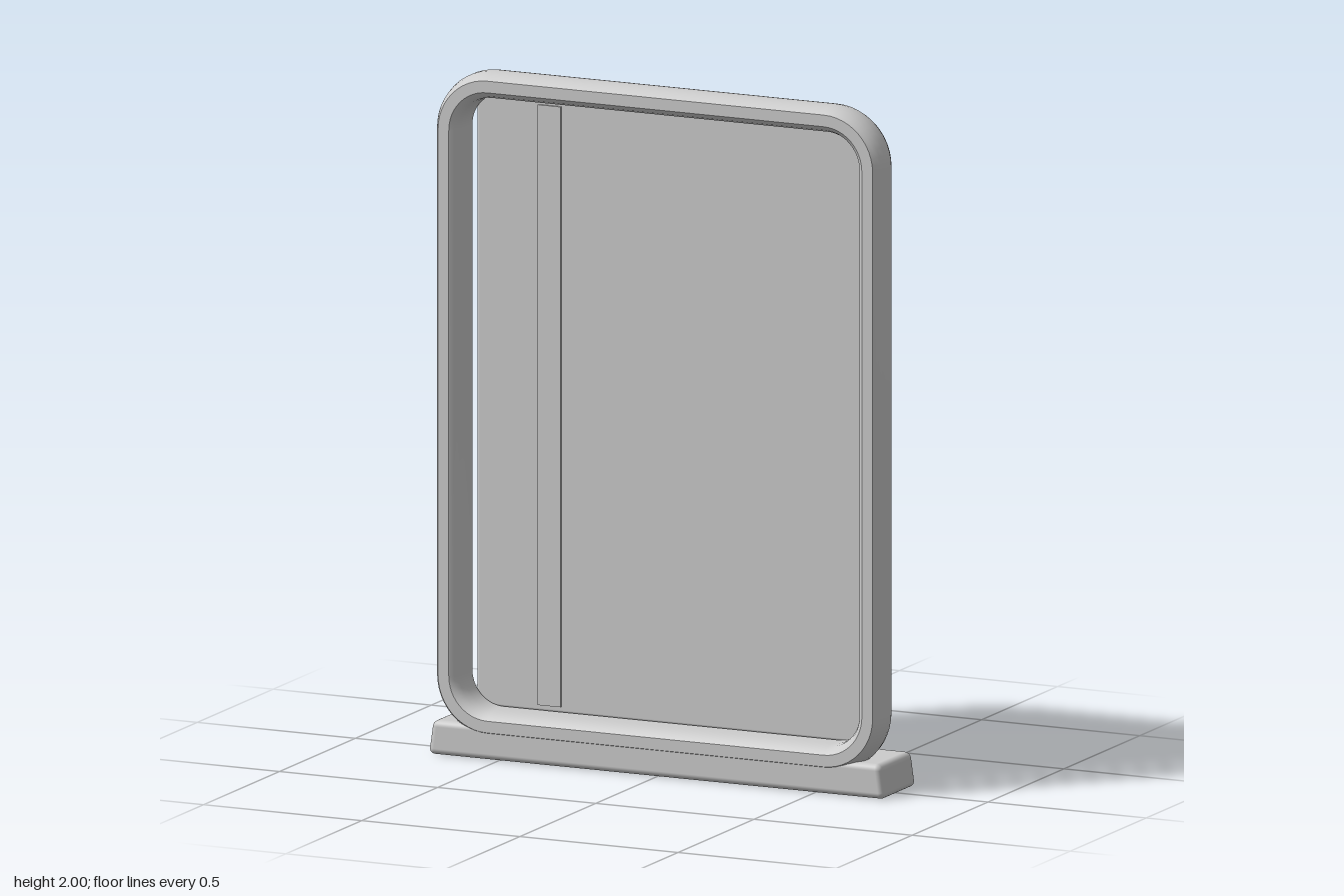
import * as THREE from 'three';
import { toCreasedNormals } from 'three/addons/utils/BufferGeometryUtils.js';
import { RoundedBoxGeometry } from 'three/addons/geometries/RoundedBoxGeometry.js';

// Ring swept around a rounded rectangle; profile points are [inset, z], back to front
function roundedRing(halfW, halfH, radius, profile, steps = 12) {
  const pos = [], idx = [], rows = 4 * (steps + 1), n = profile.length;
  const signs = [[1, 1], [-1, 1], [-1, -1], [1, -1]];
  signs.forEach(([sx, sy], q) => {
    for (let s = 0; s <= steps; s++) {
      const a = (q + s / steps) * Math.PI / 2;
      for (const [inset, z] of profile) {
        pos.push(sx * (halfW - radius) + Math.cos(a) * (radius - inset),
          sy * (halfH - radius) + Math.sin(a) * (radius - inset), z);
      }
    }
  });
  for (let i = 0; i < rows; i++) {
    for (let j = 0; j < n; j++) {
      const i2 = (i + 1) % rows, j2 = (j + 1) % n;
      const a = i * n + j, b = i2 * n + j, c = i2 * n + j2, d = i * n + j2;
      idx.push(a, b, c, a, c, d);
    }
  }
  const g = new THREE.BufferGeometry();
  g.setAttribute('position', new THREE.Float32BufferAttribute(pos, 3));
  g.setIndex(idx);
  return toCreasedNormals(g, 0.6);
}

export function createModel() {
  const model = new THREE.Group();
  model.name = 'standingMirror';
  const grey = new THREE.MeshStandardMaterial({ color: 0xcccccc });
  grey.name = 'lightGrey';

  const add = (name, geometry, x, y, z) => {
    const mesh = new THREE.Mesh(geometry, grey);
    mesh.name = name;
    mesh.position.set(x, y, z);
    model.add(mesh);
  };

  // Frame with a soft outer edge and a bevelled inner edge
  const profile = [
    [0.012, 0], [0.004, 0.018], [0, 0.038], [0, 0.062], [0.005, 0.083], [0.012, 0.097],
    [0.02, 0.108], [0.054, 0.108], [0.066, 0.098], [0.074, 0.08], [0.077, 0.05], [0.077, 0],
  ];
  add('frame', roundedRing(0.707, 0.97, 0.175, profile), 0, 1.03, 0);

  // Thin panel set just behind the frame, with a raised vertical strip
  add('panel', new RoundedBoxGeometry(1.244, 1.79, 0.022, 3, 0.01), 0, 1.025, -0.02);
  add('panelStrip', new THREE.BoxGeometry(0.072, 1.75, 0.007), -0.389, 1.025, -0.006);

  // Foot bar, slightly narrower at the top
  const foot = new RoundedBoxGeometry(1.43, 0.1, 0.216, 4, 0.018);
  const p = foot.attributes.position;
  for (let i = 0; i < p.count; i++) p.setX(i, p.getX(i) * (1 - 0.2 * p.getY(i)));
  add('foot', foot, 0, 0.05, -0.002);

  return model;
}
